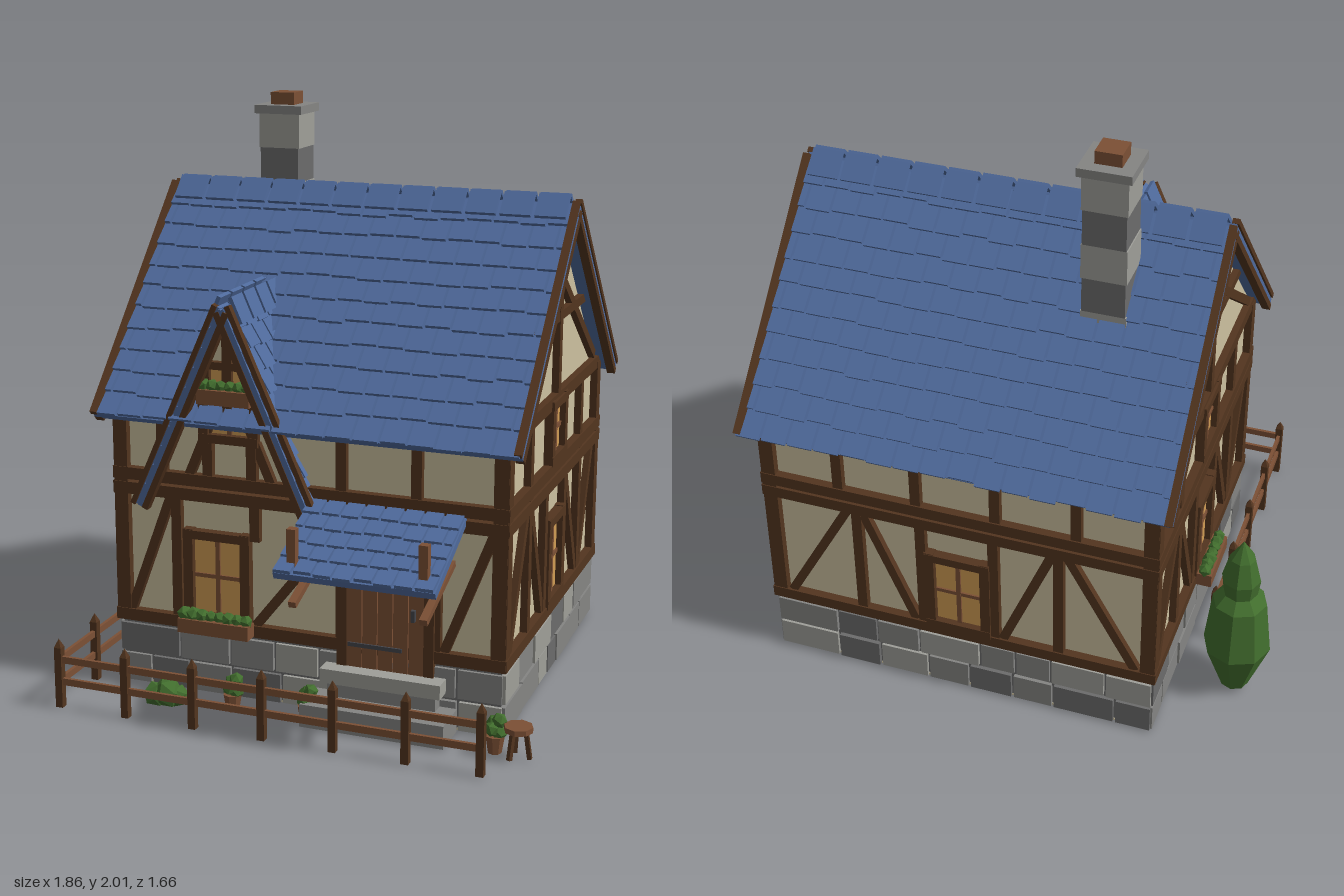
import * as THREE from 'three';
import { mergeGeometries } from 'three/addons/utils/BufferGeometryUtils.js';

const mat = (name, color) => Object.assign(new THREE.MeshStandardMaterial({ color }), { name });
const M = {
  roof: mat('blue tile', 0x4f6a9c), plaster: mat('cream plaster', 0xcdc1a0), timber: mat('dark timber', 0x53351f),
  wood: mat('brown wood', 0x7c5035), glass: mat('warm glass', 0xd09c54), light: mat('light stone', 0x9f9f99),
  mid: mat('grey stone', 0x858583), dark: mat('dark stone', 0x6c6c6c), leaf: mat('leaf green', 0x426e2e), iron: mat('iron', 0x45464c),
};
let seed = 7;
const rnd = () => (seed = (seed * 16807) % 2147483647) / 2147483647;

function group(parent, name, x = 0, y = 0, z = 0, ry = 0) {
  const g = new THREE.Group();
  g.name = name; g.position.set(x, y, z); g.rotation.y = ry;
  parent.add(g);
  return g;
}
function add(parent, name, geo, m, x = 0, y = 0, z = 0) {
  const mesh = new THREE.Mesh(geo, m);
  mesh.name = name; mesh.position.set(x, y, z);
  parent.add(mesh);
  return mesh;
}
const box = (p, name, m, w, h, d, x, y, z) => add(p, name, new THREE.BoxGeometry(w, h, d), m, x, y, z);
function faceted(geo) {
  const g = geo.index ? geo.toNonIndexed() : geo;
  g.computeVertexNormals();
  return g;
}
// Straight timber between two points on a wall plane
function beam(p, x1, y1, x2, y2, w = 0.04, d = 0.03, z = 0.01) {
  const b = box(p, 'beam', M.timber, Math.hypot(x2 - x1, y2 - y1), w, d, (x1 + x2) / 2, (y1 + y2) / 2, z);
  b.rotation.z = Math.atan2(y2 - y1, x2 - x1);
}
function leaves(p, r, x, y, z) {
  const m = add(p, 'leaves', new THREE.IcosahedronGeometry(r, 0), M.leaf, x, y, z);
  m.rotation.set(rnd() * 3, rnd() * 3, 0);
}
function planter(p, x, y, z, w) {
  const g = group(p, 'planter', x, y, z);
  box(g, 'planterBox', M.wood, w, 0.05, 0.055, 0, 0, 0);
  const n = Math.round(w / 0.032);
  for (let i = 0; i < n; i++) leaves(g, 0.022 + rnd() * 0.007, (i + 0.5) * w / n - w / 2, 0.035, 0);
}
function windowUnit(p, x, y, w, h) {
  const g = group(p, 'window', x, y, 0);
  box(g, 'glass', M.glass, w, h, 0.009, 0, 0, 0.006);
  for (const s of [-1, 1]) {
    box(g, 'jamb', M.timber, 0.035, h + 0.06, 0.04, s * (w / 2 + 0.01), 0, 0.012);
    box(g, 'rail', M.timber, w + 0.055, 0.03, 0.044, 0, s * (h / 2 + 0.012), 0.012);
  }
  box(g, 'mullion', M.wood, 0.016, h, 0.02, 0, 0, 0.008);
  box(g, 'glazingBar', M.wood, w, 0.014, 0.018, 0, 0, 0.008);
}
// Two courses of uneven blocks along a wall foot
function stones(p, length) {
  for (let row = 0; row < 2; row++) {
    let u = -length / 2;
    while (u < length / 2 - 0.01) {
      let w = 0.12 + rnd() * 0.12;
      if (length / 2 - u - w < 0.09) w = length / 2 - u;
      box(p, 'stone', [M.light, M.mid, M.dark, M.mid][Math.floor(rnd() * 4)], w - 0.01, 0.1, 0.035,
        u + w / 2, 0.053 + row * 0.112, 0.003 + rnd() * 0.006);
      u += w;
    }
  }
}
// Tiled slope falling along local +z from a ridge along local x
function slope(p, name, width, length, rows, cols, trimEnds, caps) {
  const g = group(p, name);
  box(g, 'roofDeck', M.roof, width, 0.025, length, 0, -0.002, length / 2);
  const step = length / rows, tw = width / cols, tiles = [];
  for (let r = 0; r < rows; r++) for (let c = -1; c < cols; c++) {
    const off = (r % 2) * tw / 2;
    const a = Math.max(-width / 2, -width / 2 + c * tw + off), b = Math.min(width / 2, -width / 2 + (c + 1) * tw + off);
    if (b - a < 0.02) continue;
    const d = step * (1.02 + rnd() * 0.16);
    const t = new THREE.BoxGeometry(b - a - 0.009, 0.012, d);
    t.rotateX(-0.13);
    t.translate((a + b) / 2, 0.017, r * step + d / 2 - 0.004);
    tiles.push(t);
  }
  add(g, 'tiles', mergeGeometries(tiles), M.roof);
  for (const s of trimEnds) {
    box(g, 'upperBargeboard', M.timber, 0.024, 0.018, length + 0.01, s * (width / 2 - 0.009), 0.026, length / 2);
    box(g, 'lowerBargeboard', M.timber, 0.03, 0.022, length, s * (width / 2 - 0.012), -0.02, length / 2);
  }
  for (let i = 0; i < caps; i++) {
    const cw = (width - 0.05) / caps;
    box(g, 'ridgeCap', M.roof, cw - 0.014, 0.014, 0.095, (i + 0.5) * cw - width / 2 + 0.025, 0.033, 0.02);
  }
  return g;
}
function pot(p, x, z) {
  const g = group(p, 'plantPot', x, 0, z);
  add(g, 'pot', faceted(new THREE.CylinderGeometry(0.033, 0.023, 0.06, 8)), M.wood, 0, 0.03, 0);
  for (let i = 0; i < 4; i++) leaves(g, 0.026, Math.cos(i * 2.1) * 0.014, 0.07 + i * 0.014, Math.sin(i * 2.1) * 0.014);
}

export function createModel() {
  const house = new THREE.Group();
  house.name = 'cottage';

  // Plaster body with gables, stone core and floor
  const s = new THREE.Shape([[-0.605, 0.2], [0.605, 0.2], [0.605, 1.02], [0, 1.648], [-0.605, 1.02]].map(a => new THREE.Vector2(...a)));
  const body = add(house, 'walls', new THREE.ExtrudeGeometry(s, { depth: 1.35, bevelEnabled: false }), M.plaster, -0.575, 0, -0.135);
  body.rotation.y = Math.PI / 2;
  box(house, 'foundation', M.dark, 1.37, 0.222, 1.23, 0.1, 0.115, -0.135);
  box(house, 'floor', M.plaster, 1.375, 0.008, 1.235, 0.1, 0.004, -0.135);

  const front = group(house, 'frontWall', 0.1, 0, 0.47);
  const back = group(house, 'backWall', 0.1, 0, -0.74, Math.PI);
  const sides = [group(house, 'leftWall', 0.775, 0, -0.135, Math.PI / 2), group(house, 'rightWall', -0.575, 0, -0.135, -Math.PI / 2)];

  // Frame shared by every wall
  for (const w of [front, back, ...sides]) {
    const h = w === front || w === back ? 0.675 : 0.605;
    stones(w, h * 2 + 0.04);
    for (const y of [0.25, 0.712, 0.764]) beam(w, -h - 0.028, y, h + 0.028, y, 0.042, 0.04);
    beam(w, -h - 0.02, 1.0, h + 0.02, 1.0, 0.045);
    for (const u of [-h, h]) beam(w, u, 0.25, u, 1.0, 0.05, 0.034);
  }

  // Gable walls
  for (const w of sides) {
    for (const [u, y1, y2] of [[-0.345, 0.25, 1], [0.35, 0.25, 1], [-0.13, 0.25, 0.7], [0.13, 0.25, 0.7], [0, 1.02, 1.63]]) beam(w, u, y1, u, y2, 0.036);
    for (const b of [[-0.565, 0.27, -0.37, 0.7], [-0.15, 0.27, -0.325, 0.7], [0.14, 0.7, 0.33, 0.27], [0.55, 0.7, 0.38, 0.27],
      [-0.37, 1.29, 0.37, 1.29], [-0.54, 1.04, -0.02, 1.42], [0.54, 1.04, 0.02, 1.42]]) beam(w, ...b, 0.032, 0.026);
    windowUnit(w, 0, 0.425, 0.165, 0.27);
    windowUnit(w, 0, 0.895, 0.15, 0.17);
  }
  planter(sides[1], 0, 0.265, 0.06, 0.23);

  // Front wall framing and windows (offsets from the wall centre)
  for (const [u, y1, y2] of [[-0.47, 0.25, 0.7], [-0.18, 0.57, 0.7], [0.46, 0.25, 0.7], [0.13, 0.25, 0.7], [-0.52, 0.77, 1], [-0.35, 0.77, 0.93],
    [-0.19, 0.77, 0.93], [0.13, 0.77, 1], [0.39, 0.77, 1]]) beam(front, u, y1, u, y2, 0.036);
  for (const b of [[-0.65, 0.27, -0.49, 0.7], [-0.18, 0.27, 0.11, 0.64], [0.49, 0.27, 0.655, 0.7],
    [-0.42, 0.78, -0.33, 0.99], [-0.12, 0.78, -0.21, 0.99]]) beam(front, ...b, 0.032, 0.026);
  windowUnit(front, -0.32, 0.425, 0.19, 0.27);
  windowUnit(front, -0.27, 0.985, 0.16, 0.11);
  planter(front, -0.31, 0.262, 0.065, 0.26);

  // Back wall framing
  for (const u of [-0.36, -0.13, 0.13, 0.36]) beam(back, u, 0.25, u, 0.7, 0.036);
  for (const u of [-0.42, -0.14, 0.14, 0.42]) beam(back, u, 0.77, u, 1, 0.036);
  for (const k of [-1, 1]) {
    beam(back, k * 0.63, 0.27, k * 0.39, 0.7, 0.032, 0.026);
    beam(back, k * 0.16, 0.27, k * 0.34, 0.7, 0.032, 0.026);
  }
  windowUnit(back, 0, 0.425, 0.18, 0.27);

  // Door with planks, hinges and steps
  const door = group(front, 'door', 0.29, 0, 0.02);
  for (let i = 0; i < 5; i++) box(door, 'plank', M.wood, 0.051, 0.39, 0.018, (i - 2) * 0.054, 0.375, 0.005);
  for (const k of [-1, 1]) box(door, 'doorPost', M.timber, 0.035, 0.42, 0.03, k * 0.152, 0.38, 0.002);
  box(door, 'lintel', M.timber, 0.34, 0.035, 0.03, 0, 0.585, 0.002);
  for (const y of [0.26, 0.5]) box(door, 'hinge', M.iron, 0.19, 0.014, 0.008, -0.035, y, 0.016);
  box(door, 'handle', M.iron, 0.014, 0.04, 0.02, 0.1, 0.39, 0.02);
  box(house, 'upperStep', M.light, 0.42, 0.05, 0.09, 0.39, 0.155, 0.515);
  box(house, 'stepBase', M.mid, 0.38, 0.13, 0.07, 0.39, 0.065, 0.51);
  box(house, 'lowerStep', M.mid, 0.5, 0.08, 0.15, 0.39, 0.04, 0.57);

  // Main roof
  for (const [k, ry] of [['front', 0], ['back', Math.PI]]) {
    const r = group(house, k + 'Roof', 0.1, 1.662, -0.135, ry);
    slope(r, 'slope', 1.5, 0.965, 11, 16, [-1, 1], 12).rotation.x = 0.803;
  }

  // Steep dormer over the entrance side
  const dormer = group(house, 'dormer', -0.17, 1.368, 0.32);
  for (const k of [-1, 1]) {
    const r = group(dormer, 'dormerRoof', 0, 0, 0, k * Math.PI / 2);
    slope(r, 'slope', 0.45, 0.765, 10, 5, [-k], 4).rotation.x = 1.152;
  }
  const tri = new THREE.Shape([[-0.2, 0.92], [0.2, 0.92], [0, 1.365]].map(a => new THREE.Vector2(...a)));
  const infill = group(house, 'dormerFace', -0.17, 0, 0.48);
  add(infill, 'dormerPlaster', new THREE.ExtrudeGeometry(tri, { depth: 0.01, bevelEnabled: false }), M.plaster, 0, 0, -0.01);
  beam(infill, 0, 1.0, 0, 1.36, 0.034);
  beam(infill, -0.1, 1.17, 0.1, 1.17, 0.026);
  box(infill, 'dormerGlass', M.glass, 0.15, 0.08, 0.008, 0, 1.12, 0.004);
  for (const k of [-1, 1]) beam(infill, k * 0.075, 1.06, k * 0.075, 1.16, 0.022);
  planter(infill, 0, 1.07, 0.035, 0.19);

  // Porch roof, struts and lantern
  const porch = group(house, 'porch', 0.39, 0.735, 0.49);
  slope(porch, 'porchRoof', 0.54, 0.355, 5, 8, [], 0).rotation.x = 0.43;
  for (const k of [-1, 1]) {
    box(porch, 'porchPost', M.wood, 0.03, 0.17, 0.03, k * 0.22, -0.085, 0.28);
    const b = box(porch, 'porchStrut', M.wood, 0.026, 0.022, 0.31, k * 0.22, -0.205, 0.14);
    b.rotation.x = 0.33;
  }
  const lantern = group(house, 'lantern', 0.19, 0.56, 0.57);
  box(lantern, 'arm', M.iron, 0.01, 0.01, 0.09, 0, 0.055, -0.035);
  add(lantern, 'cap', faceted(new THREE.ConeGeometry(0.032, 0.03, 4)), M.iron, 0, 0.04, 0);
  box(lantern, 'lamp', M.glass, 0.03, 0.05, 0.03, 0, 0, 0);
  box(lantern, 'base', M.iron, 0.038, 0.01, 0.038, 0, -0.03, 0);

  // Chimney in alternating courses
  const chimney = group(house, 'chimney', -0.29, 0, -0.33);
  for (let i = 0; i < 5; i++) box(chimney, 'course', i % 2 ? M.dark : M.light, 0.15 + (i % 2 ? -0.004 : 0.004), 0.124, 0.152, 0, 1.37 + i * 0.124, 0);
  box(chimney, 'cap', M.mid, 0.18, 0.03, 0.18, 0, 1.942, 0);
  box(chimney, 'flue', M.wood, 0.09, 0.045, 0.09, 0, 1.978, 0);

  // Fence along the front and one side
  const fence = group(house, 'fence');
  const post = (x, z) => {
    box(fence, 'fencePost', M.timber, 0.026, 0.215, 0.026, x, 0.1075, z);
    add(fence, 'postTip', faceted(new THREE.ConeGeometry(0.0184, 0.03, 4).rotateY(Math.PI / 4)), M.timber, x, 0.23, z);
  };
  for (let i = 0; i < 7; i++) post(-0.68 + i * 0.2475, 0.78);
  for (let i = 1; i < 5; i++) post(-0.68, 0.78 - i * 0.255);
  for (const y of [0.093, 0.172]) {
    box(fence, 'frontRail', M.wood, 1.485, 0.024, 0.012, 0.0625, y, 0.78);
    box(fence, 'sideRail', M.wood, 0.012, 0.024, 1.02, -0.68, y, 0.27);
  }

  // Garden: tree, bush, pots and stool
  const profile = [[0, 0], [0.05, 0.02], [0.118, 0.2], [0.095, 0.4], [0.06, 0.44], [0.068, 0.5], [0.045, 0.59], [0, 0.66]].map(a => new THREE.Vector2(...a));
  add(house, 'tree', faceted(new THREE.LatheGeometry(profile, 8)), M.leaf, -0.81, 0, -0.45);
  for (const [x, z, r] of [[-0.39, 0.64, 0.045], [-0.35, 0.63, 0.055], [-0.315, 0.62, 0.04]]) leaves(house, r, x, r * 0.75, z);
  pot(house, -0.12, 0.6);
  pot(house, 0.15, 0.6);
  pot(house, 0.8, 0.6);
  const stool = group(house, 'stool', 0.88, 0, 0.61);
  add(stool, 'seat', faceted(new THREE.CylinderGeometry(0.048, 0.048, 0.018, 8)), M.wood, 0, 0.1, 0);
  for (let i = 0; i < 3; i++) {
    const g = group(stool, 'leg', 0, 0, 0, i * 2.094);
    box(g, 'legBar', M.timber, 0.014, 0.094, 0.014, 0.032, 0.047, 0).rotation.z = 0.15;
  }
  return house;
}
